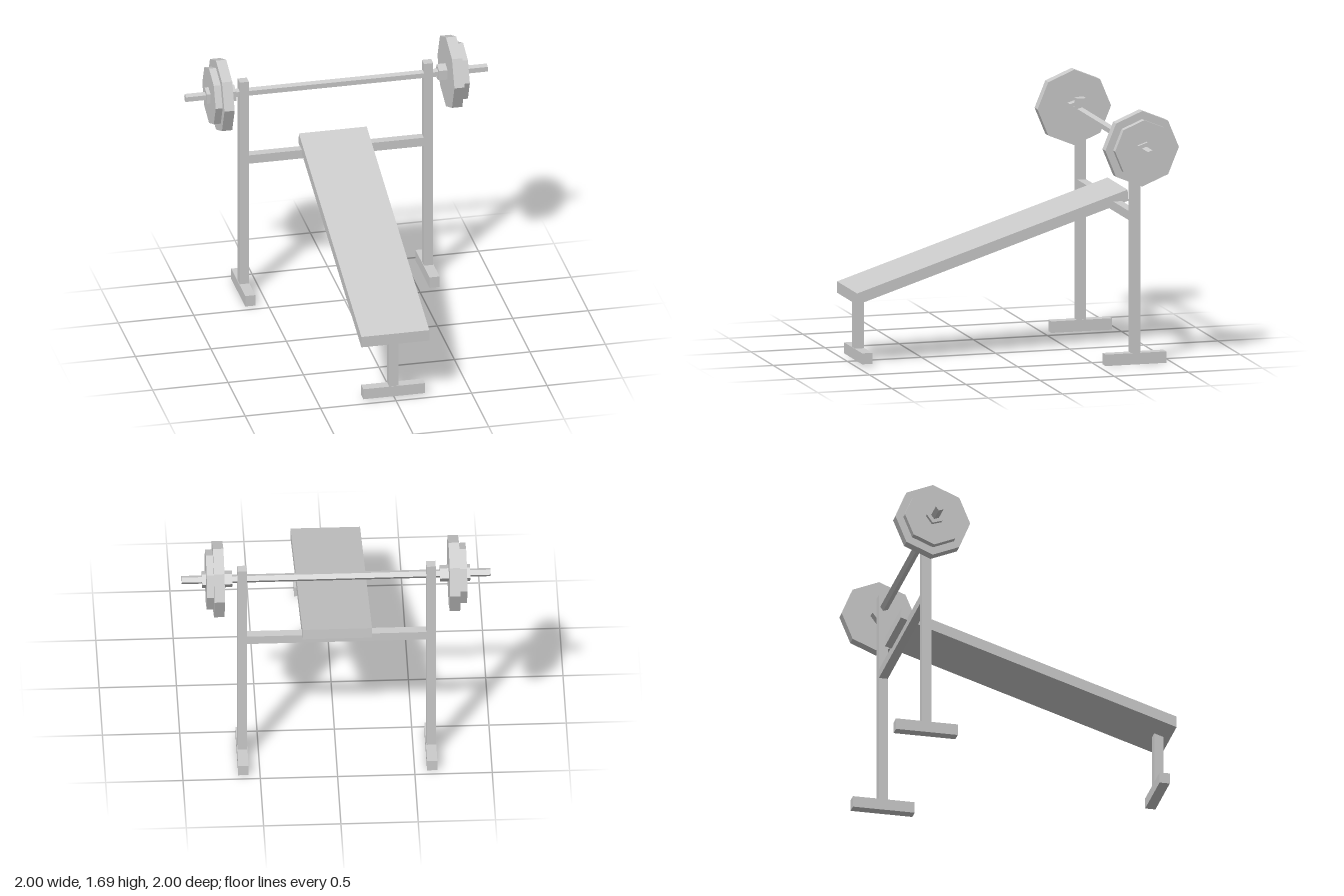
import * as THREE from 'three';

const material = new THREE.MeshStandardMaterial({ color: 0xcccccc, flatShading: true });

function add(parent, name, geometry) {
  const mesh = new THREE.Mesh(geometry, material);
  mesh.name = name;
  parent.add(mesh);
  return mesh;
}

// Box given by its extents along each axis
function box(parent, name, [x0, x1], [y0, y1], [z0, z1]) {
  const g = new THREE.BoxGeometry(x1 - x0, y1 - y0, z1 - z0);
  g.translate((x0 + x1) / 2, (y0 + y1) / 2, (z0 + z1) / 2);
  return add(parent, name, g);
}

// Faceted disc or rod lying along x, with one corner pointing to the back
function rod(parent, name, radius, sides, x0, x1) {
  const g = new THREE.CylinderGeometry(radius, radius, x1 - x0, sides, 1, false, Math.PI);
  g.rotateZ(Math.PI / 2);
  g.translate((x0 + x1) / 2, 0, 0);
  return add(parent, name, g);
}

export function createModel() {
  const model = new THREE.Group();
  model.name = 'inclineBench';

  // Sloping bench board with upright ends, profile drawn in z and y
  const profile = new THREE.Shape([
    new THREE.Vector2(1.0, 0.41),
    new THREE.Vector2(1.0, 0.485),
    new THREE.Vector2(-0.825, 1.07),
    new THREE.Vector2(-0.83, 0.997),
  ]);
  const board = new THREE.ExtrudeGeometry(profile, { depth: 0.45, bevelEnabled: false });
  board.rotateY(-Math.PI / 2);
  board.translate(0.22, 0, 0);
  add(model, 'benchBoard', board);

  // Front support
  box(model, 'frontLeg', [-0.036, 0.027], [0.08, 0.45], [0.897, 0.957]);
  box(model, 'frontFoot', [-0.207, 0.201], [0.014, 0.086], [0.892, 0.96]);

  // Rack: two uprights on feet, joined by a crossbar
  const rack = new THREE.Group();
  rack.name = 'rack';
  rack.position.x = -0.003;
  model.add(rack);
  for (const [side, s] of [['left', 1], ['right', -1]]) {
    const span = (a, b) => (s > 0 ? [a, b] : [-b, -a]);
    box(rack, side + 'Upright', span(0.58, 0.641), [0.07, 1.53], [-0.787, -0.725]);
    box(rack, side + 'Foot', span(0.577, 0.644), [0, 0.075], [-0.96, -0.55]);
  }
  box(rack, 'crossbar', [-0.59, 0.59], [0.937, 0.997], [-0.787, -0.728]);

  // Barbell with two plates and a collar at each end
  const barbell = new THREE.Group();
  barbell.name = 'barbell';
  barbell.position.set(0, 1.445, -0.75);
  model.add(barbell);
  rod(barbell, 'bar', 0.028, 5, -1, 1);
  for (const [side, s] of [['left', 1], ['right', -1]]) {
    const disc = (name, r, n, a, b) =>
      rod(barbell, side + name, r, n, ...(s > 0 ? [a, b] : [-b, -a]));
    disc('Collar', 0.057, 5, 0.672, 0.867);
    disc('LargePlate', 0.248, 8, 0.728, 0.796);
    disc('SmallPlate', 0.196, 8, 0.79, 0.842);
  }

  return model;
}
